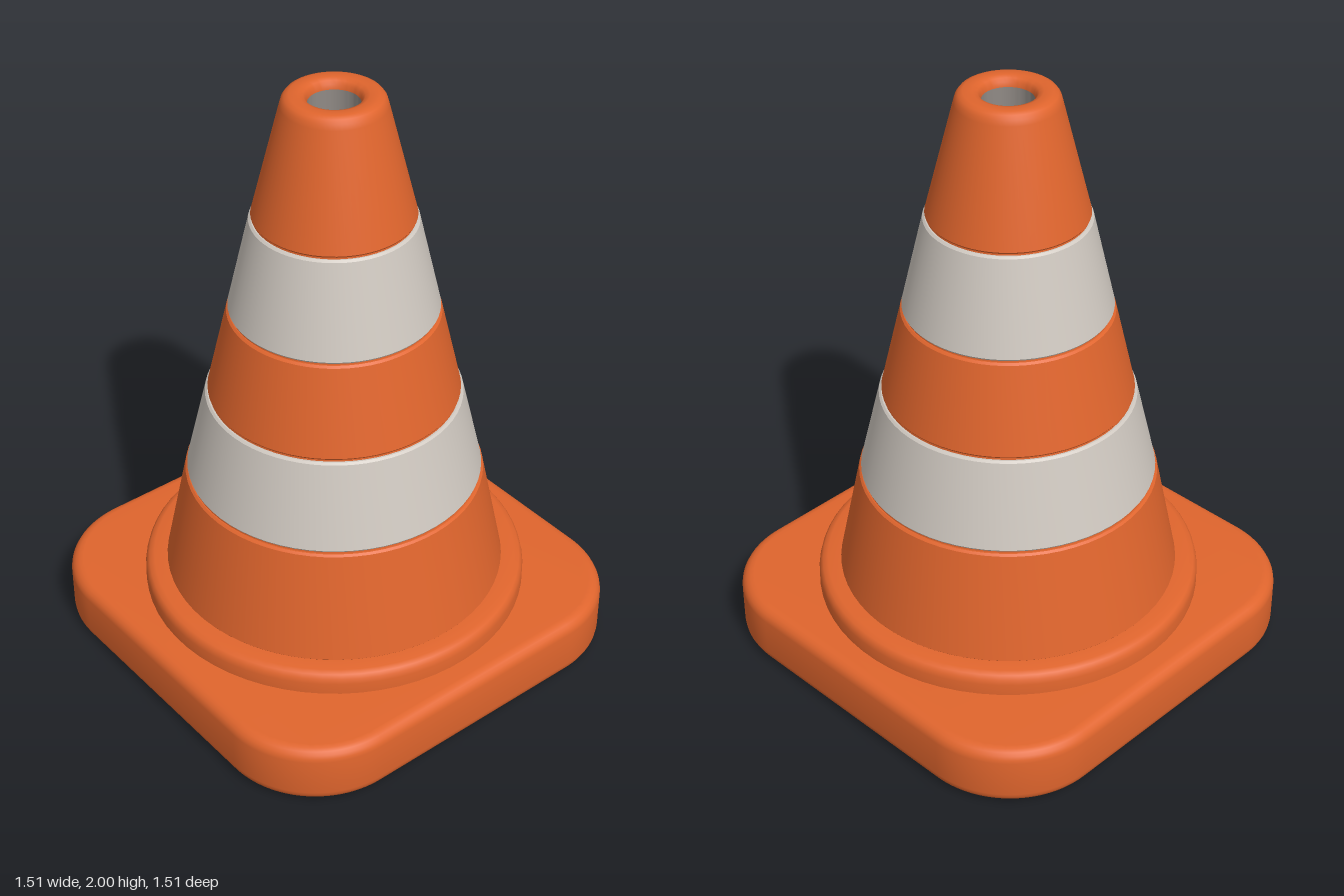
import * as THREE from 'three';
import { toCreasedNormals } from 'three/addons/utils/BufferGeometryUtils.js';

const SEGMENTS = 64;

const material = (name, color) => {
  const m = new THREE.MeshStandardMaterial({ color });
  m.name = name;
  return m;
};

export function createModel() {
  const orange = material('orange', 0xe0652d);
  const white = material('offWhite', 0xd0c9c1);
  const grey = material('innerGrey', 0x908a85);
  const dark = material('holeDark', 0x222222);

  const group = new THREE.Group();
  group.name = 'trafficCone';

  const add = (name, geometry, mat) => {
    const mesh = new THREE.Mesh(geometry, mat);
    mesh.name = name;
    group.add(mesh);
    return mesh;
  };
  // Turned part from [radius, height] pairs, going up the outside
  const turned = (name, profile, mat) => {
    const points = profile.map(([r, y]) => new THREE.Vector2(r, y));
    return add(name, toCreasedNormals(new THREE.LatheGeometry(points, SEGMENTS), 0.6), mat);
  };

  // Base slab: rounded square with soft edges, slightly turned
  const bevel = 0.04, half = 0.733 - bevel, radius = 0.33 - bevel, c = half - radius;
  const outline = new THREE.Shape();
  [[c, c], [-c, c], [-c, -c], [c, -c]].forEach(([x, y], i) => {
    outline.absarc(x, y, radius, i * Math.PI / 2, (i + 1) * Math.PI / 2, false);
  });
  const slab = new THREE.ExtrudeGeometry(outline, {
    depth: 0.21 - 2 * bevel, bevelEnabled: true, bevelSize: bevel,
    bevelThickness: bevel, bevelSegments: 5, curveSegments: 14,
  });
  slab.translate(0, 0, bevel);
  slab.rotateX(-Math.PI / 2);
  add('base', toCreasedNormals(slab, 0.6), orange).rotation.y = 0.056;

  // Round collar on the base
  turned('collar', [
    [0.635, 0.2], [0.635, 0.25], [0.631, 0.267], [0.622, 0.279], [0.605, 0.285], [0.54, 0.285],
  ], orange);

  // Cone sections with small rounded lips, separated by shallow grooves
  const section = (name, y0, r0, y1, r1, mat) => turned(name, [
    [r0 - 0.02, y0], [r0 - 0.006, y0], [r0 - 0.002, y0 + 0.006],
    [r1 + 0.001, y1 - 0.006], [r1 - 0.006, y1], [r1 - 0.02, y1],
  ], mat);
  section('lowerCone', 0.28, 0.563, 0.653, 0.486, orange);
  section('lowerBand', 0.659, 0.482, 0.955, 0.412, white);
  section('middleCone', 0.961, 0.406, 1.262, 0.336, orange);
  section('upperBand', 1.268, 0.334, 1.587, 0.26, white);
  for (const [y, r] of [[0.656, 0.475], [0.958, 0.4], [1.265, 0.326], [1.59, 0.249]]) {
    turned('groove', [[r + 0.001, y - 0.007], [r - 0.001, y + 0.007]], orange);
  }

  // Tip with rounded rim around the hole
  turned('tip', [
    [0.235, 1.593], [0.25, 1.593], [0.254, 1.599], [0.162, 1.965], [0.157, 1.982],
    [0.148, 1.994], [0.134, 2], [0.105, 2], [0.091, 1.995], [0.083, 1.985], [0.08, 1.97],
  ], orange);

  // Hole: inner wall facing the axis and a dark floor
  turned('holeWall', [[0.08, 1.97], [0.08, 1.6]], grey);
  const floor = new THREE.CircleGeometry(0.081, SEGMENTS);
  floor.rotateX(-Math.PI / 2);
  add('holeFloor', floor, dark).position.y = 1.605;

  return group;
}
